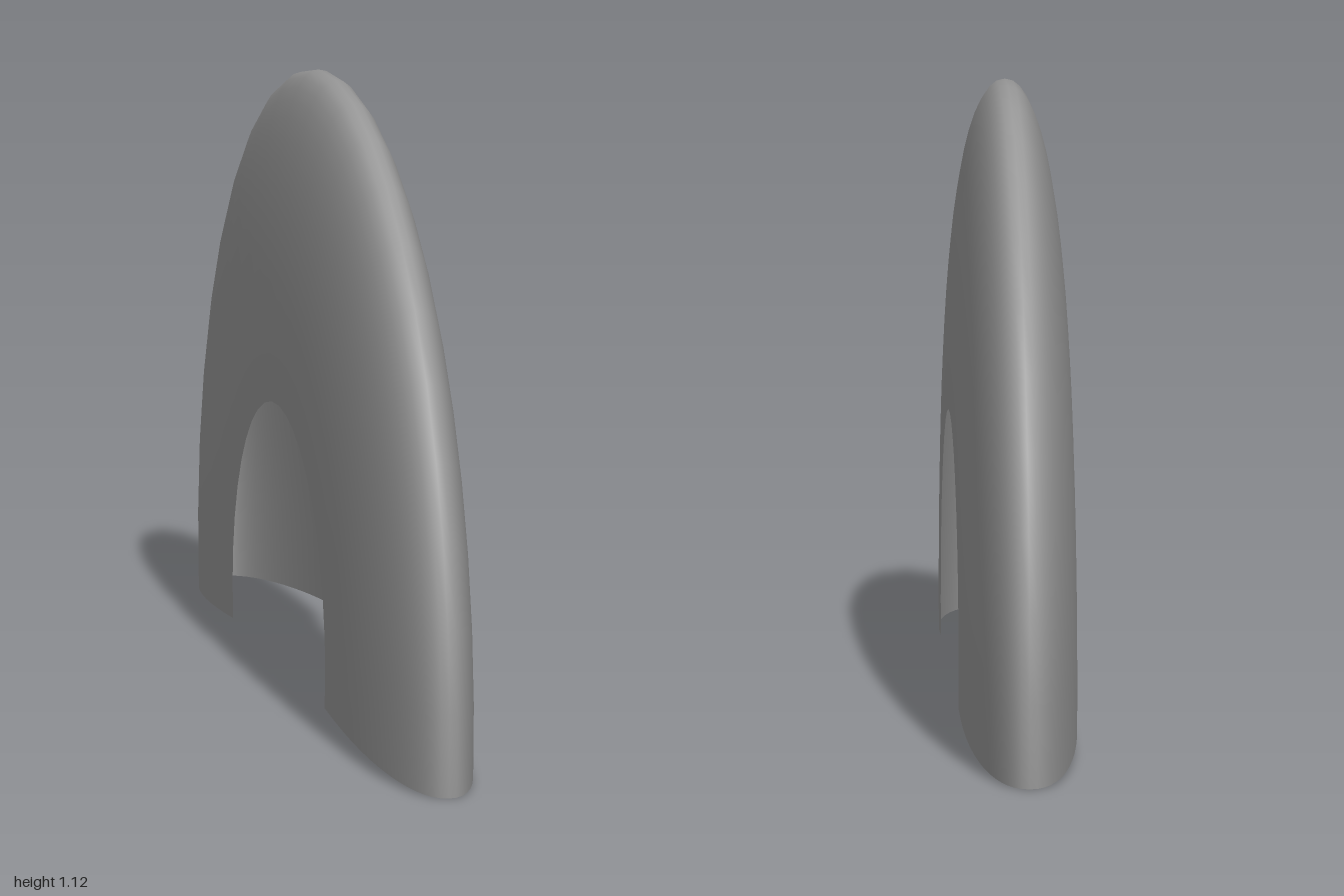
import * as THREE from 'three';

const CENTER_Y = 0.115;   // height of the wheel axis
const INNER_R = 0.406;    // radius of the open inner rim
const OUTER_R = 1;        // radius of the crown
const HALF_WIDTH = 0.105;
const BLUNTNESS = 0.9;    // below 1 makes the section fuller than an ellipse
const ARC_STEPS = 22;
const SECTION_STEPS = 28;

// How far below the axis the straight-cut ends reach at a given radius
const endAngle = (r) => 0.082 + Math.asin(0.034 / r);

// Raises a sine or cosine to the bluntness power, keeping its sign
const blunt = (s) => Math.sign(s) * Math.abs(s) ** BLUNTNESS;

// Thin fender shell: a blunt half-ellipse section swept around the x axis
function fenderShell() {
  const geometry = new THREE.PlaneGeometry(1, 1, ARC_STEPS, SECTION_STEPS);
  const pos = geometry.attributes.position;
  for (let i = 0; i < pos.count; i++) {
    const u = pos.getX(i) + 0.5;               // front end to back end
    const phi = (pos.getY(i) + 0.5) * Math.PI; // left rim over crown to right rim
    const r = INNER_R + (OUTER_R - INNER_R) * blunt(Math.sin(phi));
    const drop = endAngle(r);
    const angle = -drop + u * (Math.PI + 2 * drop);
    pos.setXYZ(
      i,
      HALF_WIDTH * blunt(Math.cos(phi)),
      CENTER_Y + r * Math.sin(angle),
      r * Math.cos(angle)
    );
  }
  geometry.computeVertexNormals();
  return geometry;
}

export function createModel() {
  const group = new THREE.Group();
  group.name = 'wheelFender';
  const material = new THREE.MeshStandardMaterial({ color: 0x999999, side: THREE.DoubleSide });
  const shell = new THREE.Mesh(fenderShell(), material);
  shell.name = 'fenderShell';
  group.add(shell);
  return group;
}
